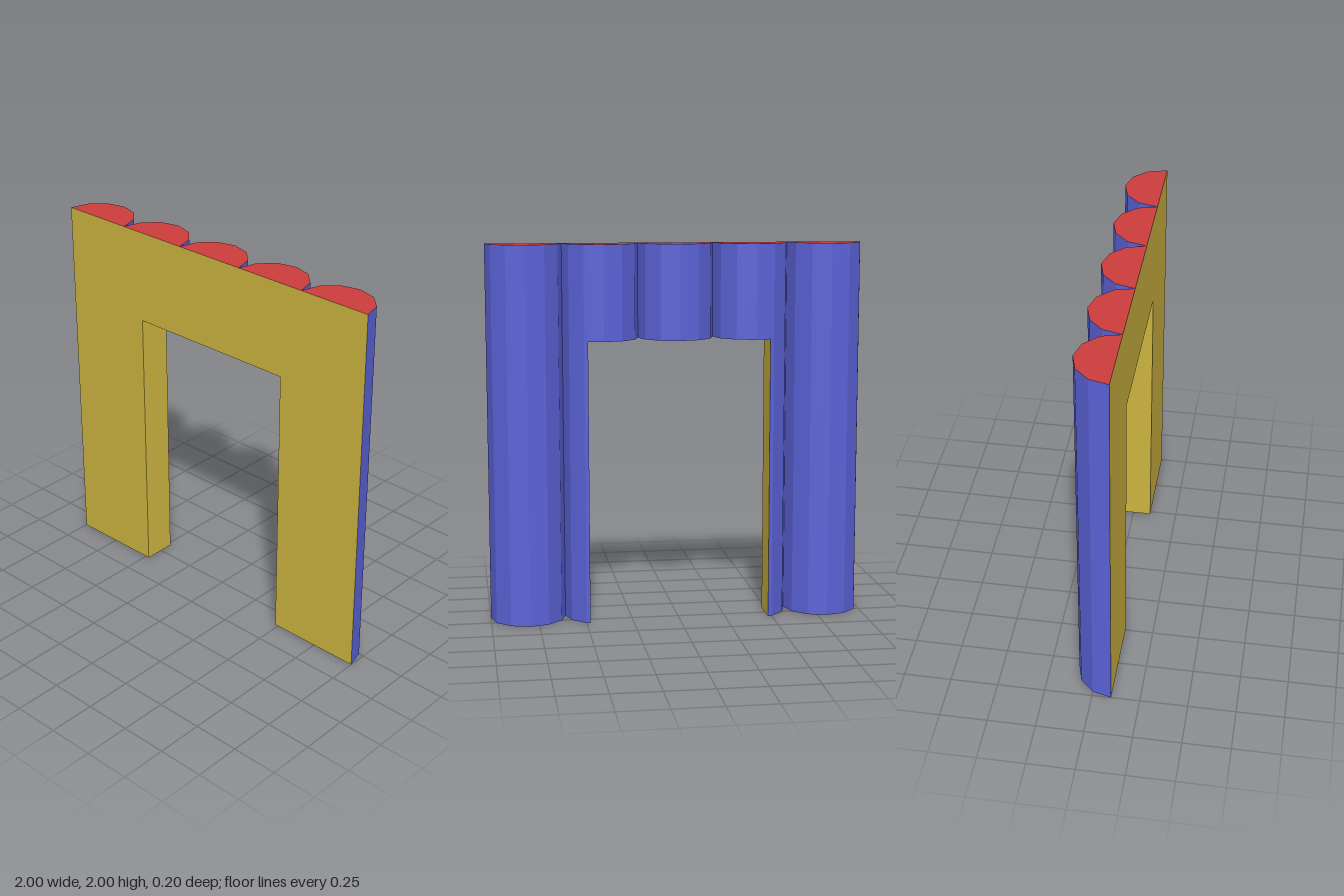
import * as THREE from 'three';

const FRONT = 0.1;      // z of the flat sawn front
const RADIUS = 0.2;     // log radius
const LOGS = 5, SIDES = 6;
const DOOR = 0.48, LINTEL = 1.5, TOP = 2;

const sawn = new THREE.MeshStandardMaterial({ color: 0xccb340, flatShading: true });
const bark = new THREE.MeshStandardMaterial({ color: 0x5a62d6, flatShading: true });
const ends = new THREE.MeshStandardMaterial({ color: 0xcc3d3d, flatShading: true });

// Scalloped back outline: a row of six-sided half rounds, as [x, z] points
const outline = [];
for (let i = 0; i < LOGS; i++) {
  const cx = (i - (LOGS - 1) / 2) * 2 * RADIUS;
  for (let s = i ? 1 : 0; s <= SIDES; s++) {
    const a = Math.PI * s / SIDES;
    outline.push([cx - RADIUS * Math.cos(a), FRONT - RADIUS * Math.sin(a)]);
  }
}

// Depth of the back outline at any x
function backZ(x) {
  const i = Math.max(1, outline.findIndex(p => p[0] >= x - 1e-6));
  const [a, b] = [outline[i - 1], outline[i]];
  return a[1] + (b[1] - a[1]) * (x - a[0]) / (b[0] - a[0]);
}

// The outline clipped to a span of x
function span(x0, x1) {
  const inner = outline.filter(p => p[0] > x0 + 1e-4 && p[0] < x1 - 1e-4);
  return [[x0, backZ(x0)], ...inner, [x1, backZ(x1)]];
}

// Mesh from quads of four counter-clockwise corners; empty triangles are dropped
function quadMesh(name, quads, material) {
  const pos = [];
  for (const q of quads) {
    const v = q.map(p => new THREE.Vector3(...p));
    for (const t of [[0, 1, 2], [0, 2, 3]]) {
      const tri = new THREE.Triangle(...t.map(k => v[k]));
      if (tri.getArea() > 1e-7) t.forEach(k => pos.push(...q[k]));
    }
  }
  const geo = new THREE.BufferGeometry();
  geo.setAttribute('position', new THREE.Float32BufferAttribute(pos, 3));
  geo.computeVertexNormals();
  const mesh = new THREE.Mesh(geo, material);
  mesh.name = name;
  return mesh;
}

// One wall section: rounded back, flat front, top and bottom ends
function section(name, x0, x1, y0, bottomMaterial) {
  const group = new THREE.Group();
  group.name = name;
  const pts = span(x0, x1);
  const strips = pts.slice(1).map((p, i) => [pts[i], p]);
  const cap = y => strips.map(([a, b]) =>
    [[a[0], y, a[1]], [a[0], y, FRONT], [b[0], y, FRONT], [b[0], y, b[1]]]);
  const back = strips.map(([a, b]) =>
    [[a[0], y0, a[1]], [a[0], TOP, a[1]], [b[0], TOP, b[1]], [b[0], y0, b[1]]]);
  const face = [[x0, y0, FRONT], [x1, y0, FRONT], [x1, TOP, FRONT], [x0, TOP, FRONT]];
  group.add(
    quadMesh('roundedBack', back, bark),
    quadMesh('flatFront', [face], sawn),
    quadMesh('topEnds', cap(TOP), ends),
    quadMesh('underside', cap(y0).map(q => q.reverse()), bottomMaterial));
  return group;
}

// Cut side of the doorway, facing the opening
function jamb(name, x) {
  const z = backZ(x);
  const q = [[x, 0, FRONT], [x, 0, z], [x, LINTEL, z], [x, LINTEL, FRONT]];
  return quadMesh(name, [x < 0 ? q : q.reverse()], sawn);
}

export function createModel() {
  const model = new THREE.Group();
  model.name = 'logWallDoorway';
  model.add(
    section('rightPost', -1, -DOOR, 0, ends),
    section('lintel', -DOOR, DOOR, LINTEL, sawn),
    section('leftPost', DOOR, 1, 0, ends),
    jamb('rightJamb', -DOOR),
    jamb('leftJamb', DOOR));
  return model;
}
